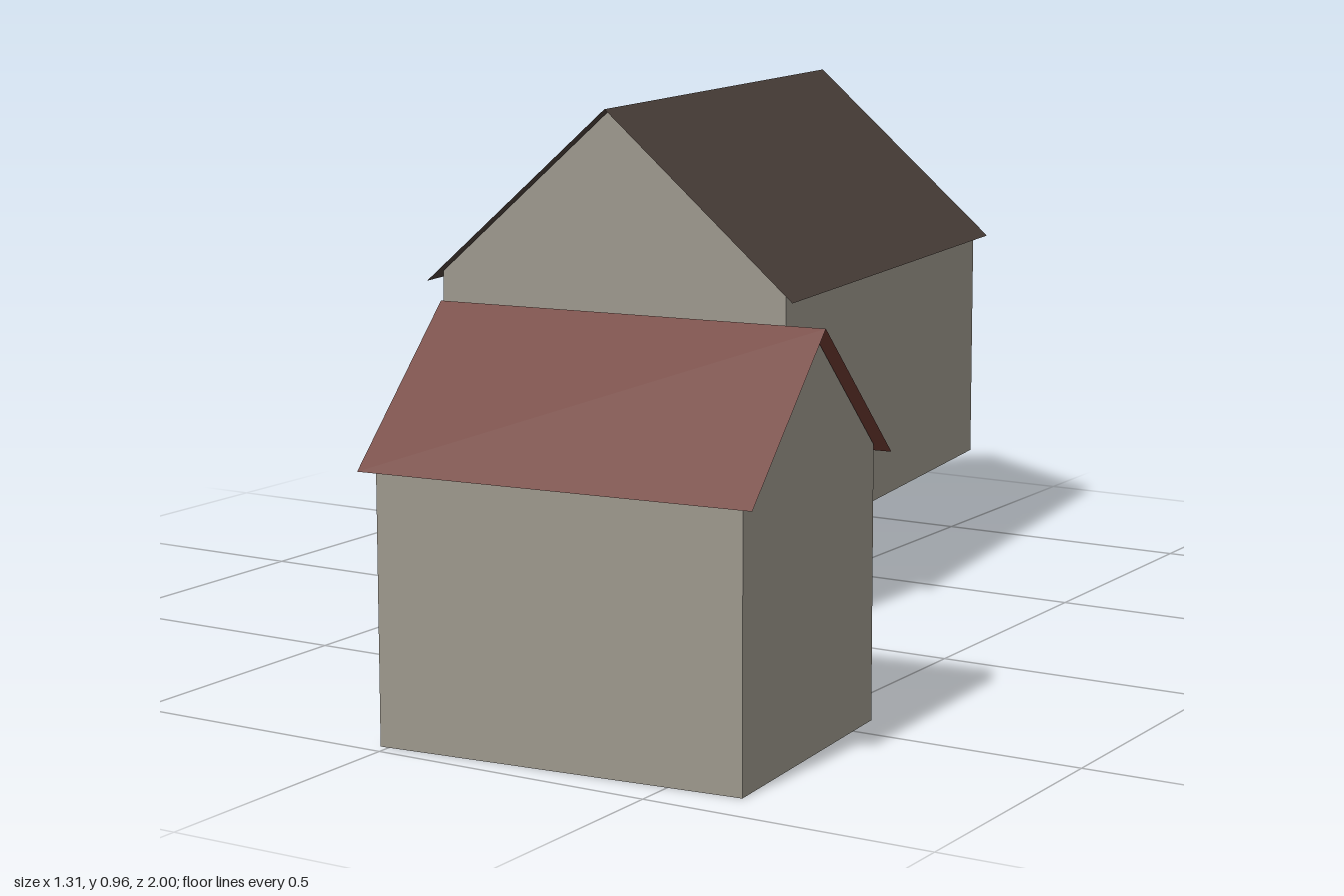
import * as THREE from 'three';

const wallMat = new THREE.MeshStandardMaterial({ name: 'stone plaster', color: 0x9c978c, side: THREE.DoubleSide });
const darkRoofMat = new THREE.MeshStandardMaterial({ name: 'dark brown shingle', color: 0x4b403a, side: THREE.DoubleSide });
const redRoofMat = new THREE.MeshStandardMaterial({ name: 'red brown tile', color: 0x6e3931, side: THREE.DoubleSide });

// Flat convex panel from its corners, counter-clockwise seen from outside
function panel(name, material, corners) {
  const geometry = new THREE.BufferGeometry();
  geometry.setAttribute('position', new THREE.Float32BufferAttribute(corners.flat(), 3));
  const index = [];
  for (let i = 1; i < corners.length - 1; i++) index.push(0, i, i + 1);
  geometry.setIndex(index);
  geometry.computeVertexNormals();
  const mesh = new THREE.Mesh(geometry, material);
  mesh.name = name;
  return mesh;
}

// Open-bottomed gabled house, ridge along local z; w and l are half sizes of
// the walls, roofW and roofL half sizes of the overhanging roof
function house(name, { w, l, roofW, roofL, eave, ridge, roofMat }) {
  const group = new THREE.Group();
  group.name = name;
  const slope = (ridge - eave) / roofW;
  const peak = ridge - 0.003;
  const top = peak - slope * w;

  // Each half is the other turned by 180 degrees
  for (const s of [1, -1]) {
    const end = s > 0 ? 'front' : 'back';
    const side = s > 0 ? 'left' : 'right';
    group.add(
      panel(end + 'GableWall', wallMat, [
        [-w * s, 0, l * s], [w * s, 0, l * s], [w * s, top, l * s], [0, peak, l * s], [-w * s, top, l * s],
      ]),
      panel(side + 'SideWall', wallMat, [
        [w * s, 0, l * s], [w * s, 0, -l * s], [w * s, top, -l * s], [w * s, top, l * s],
      ]),
      panel(side + 'RoofSlope', roofMat, [
        [roofW * s, eave, roofL * s], [roofW * s, eave, -roofL * s], [0, ridge, -roofL * s], [0, ridge, roofL * s],
      ]),
    );
  }
  return group;
}

export function createModel() {
  const model = new THREE.Group();
  model.name = 'farmBuildings';

  // Large building, standing higher up at the back
  const barn = house('barn', {
    w: 0.346, l: 0.512, roofW: 0.368, roofL: 0.535, eave: 0.45, ridge: 0.783, roofMat: darkRoofMat,
  });
  barn.position.set(-0.218, 0.175, -0.42);
  barn.rotation.y = 0.136;

  // Small building in front, its ridge running sideways
  const cottage = house('cottage', {
    w: 0.247, l: 0.323, roofW: 0.265, roofL: 0.347, eave: 0.452, ridge: 0.692, roofMat: redRoofMat,
  });
  cottage.position.set(0.284, 0, 0.701);
  cottage.rotation.y = Math.PI / 2 + 0.09;

  model.add(barn, cottage);
  return model;
}
